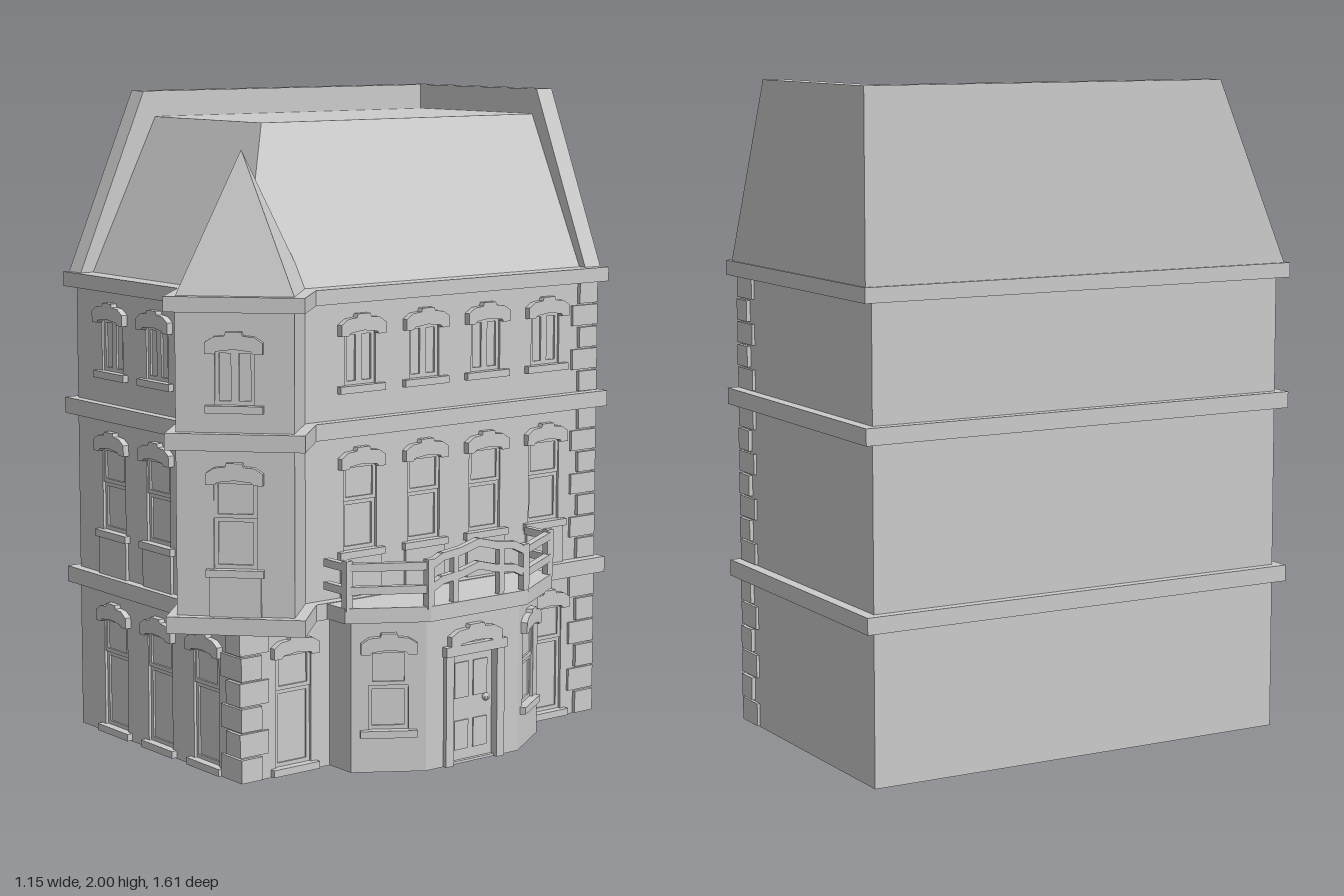
import * as THREE from 'three';
import { ConvexGeometry } from 'three/addons/geometries/ConvexGeometry.js';

const mat = new THREE.MeshStandardMaterial({ color: 0xcccccc, flatShading: true });

function add(parent, name, geo) {
  const m = new THREE.Mesh(geo, mat);
  m.name = name;
  parent.add(m);
  return m;
}

// Box given by its minimum and maximum corners
function block(parent, name, x0, x1, y0, y1, z0, z1) {
  const m = add(parent, name, new THREE.BoxGeometry(x1 - x0, y1 - y0, z1 - z0));
  m.position.set((x0 + x1) / 2, (y0 + y1) / 2, (z0 + z1) / 2);
  return m;
}

const poly = (pts) => new THREE.Shape(pts.map(([x, y]) => new THREE.Vector2(x, y)));
const rect = (x0, x1, y0, y1) => [[x0, y0], [x1, y0], [x1, y1], [x0, y1]];
const extrude = (shape, depth) => new THREE.ExtrudeGeometry(shape, { depth, bevelEnabled: false });

// Vertical prism over a plan outline of [x, z] points
function prism(parent, name, plan, y0, y1) {
  const geo = extrude(poly(plan.map(([x, z]) => [x, -z])), y1 - y0);
  geo.rotateX(-Math.PI / 2);
  geo.translate(0, y0, 0);
  return add(parent, name, geo);
}

// Picture-frame shaped sash with a pane behind it
function sash(parent, x0, x1, y0, y1, z) {
  const t = 0.012;
  const s = poly(rect(x0, x1, y0, y1));
  s.holes.push(poly(rect(x0 + t, x1 - t, y0 + t, y1 - t)));
  add(parent, 'sash', extrude(s, 0.008)).position.z = z;
  block(parent, 'glass', x0, x1, y0, y1, z - 0.004, z + 0.002);
}

// Arched window head with a keystone
function hood(parent, y, w) {
  const k = w / 2;
  const half = [[k, 0], [k, 0.034], [k * 0.7, 0.05], [k * 0.32, 0.053], [k * 0.28, 0.064]];
  const under = [[-k * 0.68, 0], [-k * 0.6, 0.008], [0, 0.014], [k * 0.6, 0.008], [k * 0.68, 0]];
  const s = poly([...half, ...half.map(([a, b]) => [-a, b]).reverse(), ...under]);
  add(parent, 'windowHood', extrude(s, 0.02)).position.y = y;
}

// Opening styles: half width, bottom and top of the hole, and the fittings around it
const STYLES = {
  casement: { h: 0.058, y0: 1.15, y1: 1.312 },
  tall: { h: 0.063, y0: 0.65, y1: 0.912, split: 0.8, apron: [0.5, 0.635] },
  ground: { h: 0.065, y0: 0.025, y1: 0.372, split: 0.26 },
  bay: { h: 0.06, y0: 0.13, y1: 0.375, split: 0.265 },
  door: { h: 0.085, y0: 0.008, y1: 0.345 },
};

function fitOpening(wall, style, u, dy) {
  const g = new THREE.Group();
  g.name = style === 'door' ? 'entrance' : 'window';
  g.position.set(u, dy, 0);
  wall.add(g);
  const { h, y0, y1, split, apron } = STYLES[style];
  if (style === 'door') {
    block(g, 'doorLeaf', -h, h, y0, y1, -0.022, -0.012);
    for (const s of [-1, 1]) {
      block(g, 'doorPilaster', s * 0.1 - 0.015, s * 0.1 + 0.015, 0, 0.34, 0, 0.014);
      for (const [a, b] of [[0.04, 0.13], [0.2, 0.31]])
        block(g, 'doorPanel', s * 0.037 - 0.027, s * 0.037 + 0.027, a, b, -0.013, -0.008);
    }
    block(g, 'doorLintel', -0.12, 0.12, 0.34, 0.37, 0, 0.02);
    add(g, 'doorKnob', new THREE.SphereGeometry(0.012, 10, 8)).position.set(0.055, 0.19, -0.003);
    hood(g, 0.366, 0.2);
    return;
  }
  if (split) {
    sash(g, -h, h, split, y1, -0.012);
    sash(g, -h, h, y0, split, -0.017);
  } else {
    sash(g, -h, 0, y0, y1, -0.015);
    sash(g, 0, h, y0, y1, -0.015);
  }
  if (apron) block(g, 'apron', -0.076, 0.076, apron[0], apron[1], -0.005, 0.01);
  block(g, 'sill', -0.085, 0.085, y0 - 0.022, y0, -0.015, 0.018);
  hood(g, y1 - 0.012, 0.168);
}

// Wall slab from plan point a to b (left to right seen from outside) with real openings
function wall(parent, name, a, b, y0, y1, openings) {
  const dx = b[0] - a[0], dz = b[1] - a[1];
  const g = new THREE.Group();
  g.name = name;
  g.position.set(a[0], 0, a[1]);
  g.rotation.y = Math.atan2(-dz, dx);
  parent.add(g);
  const s = poly(rect(0, Math.hypot(dx, dz), y0, y1));
  for (const [style, u, dy = 0] of openings) {
    const o = STYLES[style];
    s.holes.push(poly(rect(u - o.h, u + o.h, o.y0 + dy, o.y1 + dy)));
    fitOpening(g, style, u, dy);
  }
  add(g, name + 'Slab', extrude(s, 0.02)).position.z = -0.02;
}

// Square bar between two points
function bar(parent, name, p, q, w, h) {
  const a = new THREE.Vector3(...p), b = new THREE.Vector3(...q);
  const m = add(parent, name, new THREE.BoxGeometry(w, h, a.distanceTo(b) + w * 0.5));
  m.position.copy(a).lerp(b, 0.5);
  m.lookAt(b);
}

// Corner stones, alternately long on one face and on the other
function quoins(parent, y0, y1, count, cornerZ, dir) {
  const step = (y1 - y0) / count;
  for (let i = 0; i < count; i++) {
    const [lx, lz] = i % 2 ? [0.075, 0.105] : [0.105, 0.075];
    const out = cornerZ + dir * (i % 2 ? 0.012 : 0.009), inn = out - dir * lz;
    block(parent, 'quoin', 0.332 - lx, i % 2 ? 0.329 : 0.332, y0 + i * step + 0.003,
      y0 + (i + 1) * step - 0.003, Math.min(out, inn), Math.max(out, inn));
  }
}

export function createModel() {
  const house = new THREE.Group();
  house.name = 'cornerTownhouse';

  // Main body and its two decorated walls
  block(house, 'body', -0.55, 0.3, 0, 1.44, -0.77, 0.59);
  const front = [];
  for (const x of [-0.35, -0.105]) for (const s of ['ground', 'tall', 'casement']) front.push([s, x + 0.55]);
  front.push(['ground', 0.14 + 0.55]);
  wall(house, 'frontWall', [-0.55, 0.61], [0.32, 0.61], 0, 1.44, front);
  const side = [['ground', 0.61 - 0.42], ['ground', 0.61 + 0.585]];
  for (const z of [0.17, -0.077, -0.322, -0.568]) for (const s of ['tall', 'casement']) side.push([s, 0.61 - z]);
  wall(house, 'sideWall', [0.32, 0.61], [0.32, -0.77], 0, 1.44, side);
  quoins(house, 0, 0.46, 6, 0.61, 1);
  for (const [a, b, n] of [[0, 0.46, 6], [0.51, 1, 7], [1.05, 1.4, 5]]) quoins(house, a, b, n, -0.77, -1);

  // Overhanging corner tower
  prism(house, 'towerBody', [[0.06, 0.61], [0.196, 0.746], [0.442, 0.501], [0.32, 0.375], [0.2, 0.5]], 0.46, 1.44);
  wall(house, 'towerWall', [0.21, 0.76], [0.456, 0.515], 0.46, 1.44,
    [['tall', 0.1735], ['casement', 0.1735, -0.02]]);

  // String courses wrapping the body and the tower
  const course = [[-0.58, -0.805], [0.354, -0.805], [0.354, 0.36], [0.5, 0.51], [0.21, 0.8], [0.05, 0.64], [-0.58, 0.64]];
  for (const [a, b] of [[0.46, 0.51], [1, 1.05], [1.4, 1.445]]) prism(house, 'cornice', course, a, b);

  // Entrance bay
  const bay = new THREE.Group();
  bay.name = 'entranceBay';
  house.add(bay);
  prism(bay, 'bayBody', [[0.3, 0.265], [0.413, 0.265], [0.525, 0.09], [0.525, -0.265], [0.413, -0.435], [0.3, -0.435]], 0, 0.47);
  const plan = [[0.32, 0.285], [0.425, 0.285], [0.545, 0.095], [0.545, -0.27], [0.425, -0.455], [0.32, -0.455]];
  const fittings = [[], [['bay', 0.112]], [['door', 0.1825]], [['bay', 0.11]], []];
  fittings.forEach((f, i) => wall(bay, 'bayWall', plan[i], plan[i + 1], 0, 0.47, f));
  prism(bay, 'balconyFloor', [[0.3, 0.32], [0.44, 0.32], [0.572, 0.1], [0.572, -0.28], [0.44, -0.5], [0.3, -0.5]], 0.462, 0.508);

  // Balcony railing, arched over the entrance
  const rail = [[0.34, 0.307], [0.434, 0.307], [0.558, 0.097], [0.558, -0.277], [0.434, -0.487], [0.34, -0.487]];
  for (const [x, z] of rail.slice(1, 5)) block(bay, 'railPost', x - 0.012, x + 0.012, 0.5, 0.65, z - 0.012, z + 0.012);
  for (const y of [0.56, 0.63]) {
    for (const i of [0, 1, 3, 4]) {
      const [p, q] = [rail[i], rail[i + 1]];
      bar(bay, 'rail', [p[0], y, p[1]], [q[0], y, q[1]], 0.022, 0.024);
    }
    const arch = [[0.097, 0], [0.05, 0.022], [-0.02, 0.03], [-0.09, 0.048], [-0.16, 0.03], [-0.23, 0.022], [-0.277, 0]];
    for (let i = 0; i < 6; i++)
      bar(bay, 'archedRail', [0.558, y + arch[i][1], arch[i][0]], [0.558, y + arch[i + 1][1], arch[i + 1][0]], 0.022, 0.024);
  }
  for (const z of [0.0, -0.18]) block(bay, 'railBaluster', 0.548, 0.568, 0.5, 0.66, z - 0.01, z + 0.01);

  // Mansard roof
  const roof = [];
  for (const [x, z, y] of [[0.295, 0.58, 1.44], [0.06, 0.34, 1.92]])
    for (const px of [-0.54, x]) for (const pz of [-0.77, z]) roof.push(new THREE.Vector3(px, y, pz));
  add(house, 'mansardRoof', new ConvexGeometry(roof));

  // Party-wall parapets on the left and back
  const back = extrude(poly([[-0.572, 1.44], [0.322, 1.44], [0.08, 2], [-0.572, 2]]), 0.065);
  add(house, 'backParapet', back).position.z = -0.8;
  const left = extrude(poly([[-0.625, 1.44], [0.8, 1.44], [0.8, 2], [-0.383, 2]]), 0.067);
  left.rotateY(Math.PI / 2);
  add(house, 'leftParapet', left).position.x = -0.572;

  // Tower spire
  const spire = [[0.21, 0.76], [0.46, 0.515], [0.26, 0.32], [0.01, 0.565]].map(([x, z]) => new THREE.Vector3(x, 1.44, z));
  spire.push(new THREE.Vector3(0.235, 1.855, 0.54));
  add(house, 'spire', new ConvexGeometry(spire));

  return house;
}
